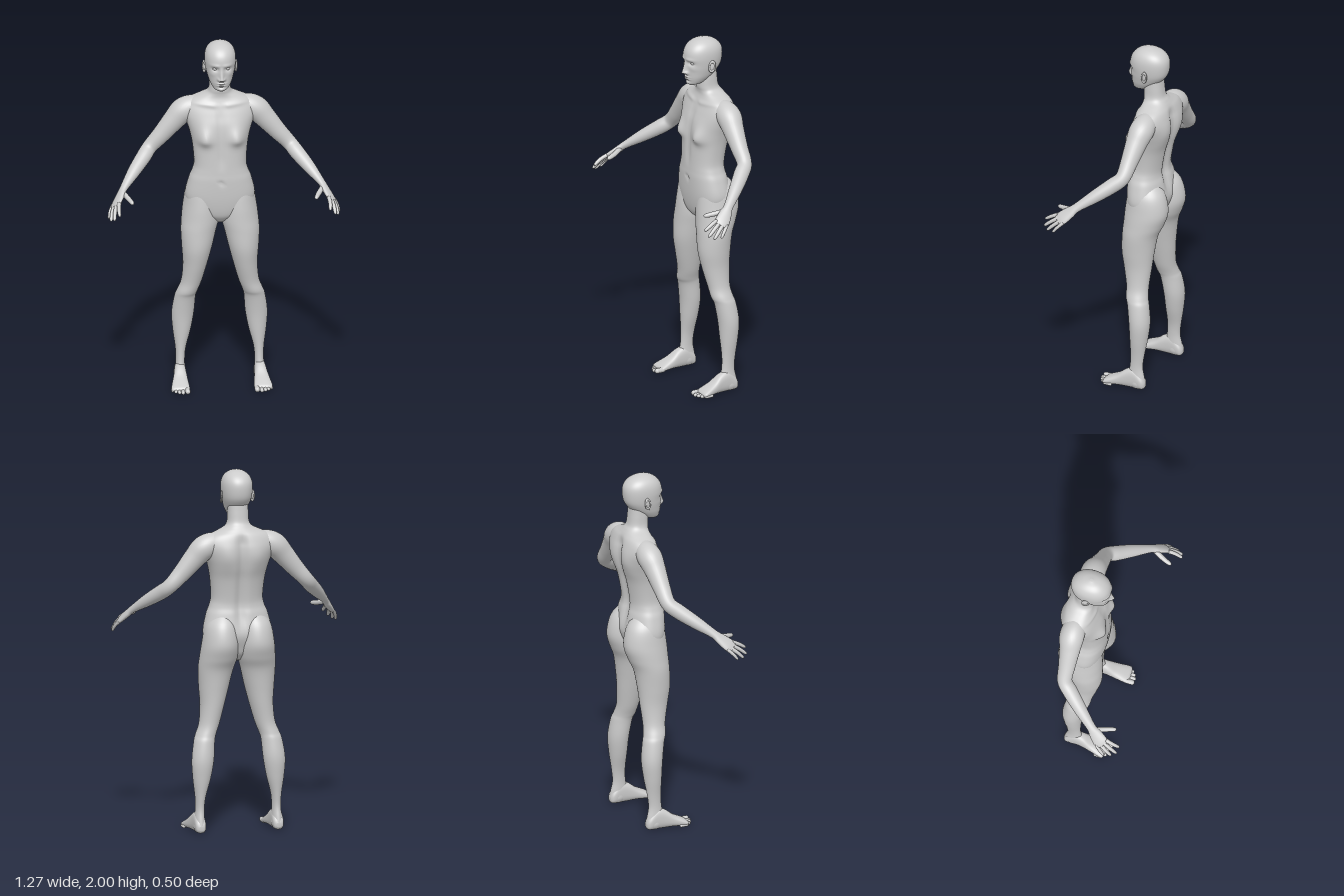
import * as THREE from 'three';

const skinMat = new THREE.MeshStandardMaterial({ color: 0xcccccc });
const bell = (d, w) => Math.exp(-(d * d) / (w * w));
const step = (v, a, b) => THREE.MathUtils.smoothstep(v, a, b);
const power = (v, p) => Math.sign(v) * Math.abs(v) ** p;

// Smoothly resample rows of numbers (Catmull-Rom per column)
function resample(rows, per) {
  const out = [];
  const last = rows.length - 1;
  for (let k = 0; k <= last * per; k++) {
    const i = Math.min(Math.floor(k / per), last - 1), t = k / per - i;
    const a = rows[Math.max(i - 1, 0)], b = rows[i], c = rows[i + 1], d = rows[Math.min(i + 2, last)];
    out.push(b.map((_, n) => 0.5 * (2 * b[n] + (c[n] - a[n]) * t
      + (2 * a[n] - 5 * b[n] + 4 * c[n] - d[n]) * t * t
      + (3 * b[n] - a[n] - 3 * c[n] + d[n]) * t ** 3)));
  }
  return out;
}

// Closed skin over a list of rings, with a fan at both ends
function skin(rings) {
  const n = rings[0].length, pos = [], idx = [];
  rings.forEach((r) => r.forEach((v) => pos.push(v.x, v.y, v.z)));
  const ends = [rings[0], rings[rings.length - 1]].map((r) => {
    const c = r.reduce((s, v) => s.add(v), new THREE.Vector3()).divideScalar(n);
    pos.push(c.x, c.y, c.z);
    return pos.length / 3 - 1;
  });
  const top = (rings.length - 1) * n;
  for (let j = 0; j < n; j++) {
    const k = (j + 1) % n;
    for (let i = 0; i < rings.length - 1; i++) {
      const a = i * n + j, b = i * n + k;
      idx.push(a, b, a + n, b, b + n, a + n);
    }
    idx.push(ends[0], k, j, ends[1], top + j, top + k);
  }
  const g = new THREE.BufferGeometry();
  g.setAttribute('position', new THREE.Float32BufferAttribute(pos, 3));
  g.setIndex(idx);
  g.computeVertexNormals();
  return g;
}

// Stacked slices [y, x0, x1, zFront, zBack], bottom to top
function stack(rows, { per = 6, sides = 48, p = 1, shape = null } = {}) {
  return skin(resample(rows, per).map(([y, x0, x1, zf, zb]) =>
    Array.from({ length: sides }, (_, j) => {
      const a = (j / sides) * Math.PI * 2;
      const v = new THREE.Vector3((x0 + x1) / 2 + (x1 - x0) / 2 * power(Math.cos(a), p), y,
        (zf + zb) / 2 - (zf - zb) / 2 * power(Math.sin(a), p));
      if (shape) shape(v, -Math.sin(a));
      return v;
    })));
}

// Limb through points [x, y, z, radius across, radius through]
function limb(rows, side, per = 6, sides = 28) {
  const pts = resample(rows, per);
  const at = (i) => new THREE.Vector3(...pts[THREE.MathUtils.clamp(i, 0, pts.length - 1)].slice(0, 3));
  return skin(pts.map((q, i) => {
    const t = at(i + 1).sub(at(i - 1)).normalize();
    const u = side.clone().addScaledVector(t, -side.dot(t)).normalize();
    const v = t.clone().cross(u);
    return Array.from({ length: sides }, (_, j) => {
      const a = (j / sides) * Math.PI * 2;
      return at(i).addScaledVector(u, q[3] * Math.cos(a)).addScaledVector(v, q[4] * Math.sin(a));
    });
  }));
}

function mirrored(geo) {
  const g = geo.clone().scale(-1, 1, 1), ix = g.index.array;
  for (let i = 0; i < ix.length; i += 3) [ix[i], ix[i + 1]] = [ix[i + 1], ix[i]];
  g.computeVertexNormals();
  return g;
}

export function createModel() {
  const body = new THREE.Group();
  body.name = 'humanFigure';
  const add = (name, geo) => {
    const m = new THREE.Mesh(geo, skinMat);
    m.name = name;
    body.add(m);
  };
  const pair = (name, geo) => {
    add(name + 'Left', geo);
    add(name + 'Right', mirrored(geo));
  };
  const even = (rows) => rows.map(([y, w, zf, zb]) => [y, -w, w, zf, zb]);

  // Torso and neck, with chest, shoulder blades, spine groove and navel
  add('torso', stack(even([
    [0.945, 0.02, -0.07, -0.13], [0.98, 0.08, -0.03, -0.17], [1.02, 0.15, -0.012, -0.19],
    [1.1, 0.19, 0, -0.215], [1.2, 0.172, 0.004, -0.203], [1.25, 0.153, 0.002, -0.192],
    [1.3, 0.143, 0, -0.194], [1.4, 0.151, -0.004, -0.212], [1.47, 0.165, -0.008, -0.232],
    [1.53, 0.184, -0.017, -0.243], [1.58, 0.2, -0.034, -0.243], [1.62, 0.195, -0.05, -0.235],
    [1.652, 0.165, -0.063, -0.224], [1.675, 0.115, -0.07, -0.21], [1.695, 0.075, -0.07, -0.197],
    [1.72, 0.06, -0.066, -0.182], [1.77, 0.057, -0.068, -0.175], [1.82, 0.055, -0.075, -0.17],
  ]), {
    sides: 80, p: 0.86,
    shape(v, f) {
      const x = Math.abs(v.x), { y } = v;
      if (f > 0) {
        v.z += f * 0.036 * bell(x - 0.095, 0.042) * bell(y - 1.445, y < 1.445 ? 0.032 : 0.06);
        v.z -= 0.008 * bell(x, 0.018) * step(y, 1.25, 1.35) * (1 - step(y, 1.55, 1.65));
        v.z += f * 0.006 * bell(y - 1.632 - x * 0.1, 0.012) * step(x, 0.01, 0.04);
        v.z -= 0.01 * bell(x, 0.009) * bell(y - 1.2, 0.012);
      } else {
        v.z += 0.022 * bell(x, 0.026) * step(y, 1.08, 1.22) * (1 - step(y, 1.6, 1.68));
        v.z += f * 0.01 * bell(x - 0.09, 0.045) * bell(y - 1.53, 0.07);
      }
    },
  }));

  // Head with brow, eye sockets, nose, lips and chin
  add('head', stack(even([
    [1.737, 0.018, -0.012, -0.05], [1.75, 0.04, 0.0, -0.09], [1.78, 0.059, 0.007, -0.135],
    [1.81, 0.07, 0.01, -0.17], [1.85, 0.08, 0.011, -0.198], [1.9, 0.085, 0.017, -0.207],
    [1.94, 0.081, 0.009, -0.202], [1.97, 0.066, -0.013, -0.18], [1.99, 0.04, -0.045, -0.145],
    [2.0, 0.008, -0.085, -0.103],
  ]), {
    per: 11, sides: 120, p: 0.92,
    shape(v, f) {
      if (f <= 0) return;
      const x = Math.abs(v.x), { y } = v;
      const ridge = THREE.MathUtils.clamp((1.888 - y) / 0.07, 0, 1) * step(y, 1.798, 1.815);
      v.z += 0.028 * ridge * bell(x, 0.013)
        + 0.01 * bell(x - 0.016, 0.007) * bell(y - 1.815, 0.009)
        - 0.014 * bell(x - 0.034, 0.018) * bell(y - 1.872, 0.012)
        + 0.005 * bell(x - 0.032, 0.026) * bell(y - 1.893, 0.01)
        + 0.004 * bell(x - 0.052, 0.018) * bell(y - 1.842, 0.016)
        + 0.009 * bell(x, 0.021) * (bell(y - 1.789, 0.005) + bell(y - 1.776, 0.005))
        - 0.004 * bell(x, 0.02) * bell(y - 1.765, 0.006)
        + 0.007 * bell(x, 0.02) * bell(y - 1.752, 0.009);
    },
  }));
  pair('eye', new THREE.SphereGeometry(0.0125, 20, 14).scale(1.15, 0.7, 1).translate(0.034, 1.871, -0.013));

  // Ears: a rim around a shallow bowl
  const ear = (g) => g.rotateY(Math.PI / 2 - 0.35).rotateX(-0.15).translate(0.087, 1.852, -0.103);
  pair('earRim', ear(new THREE.TorusGeometry(0.016, 0.005, 10, 28).scale(1, 1.7, 1)));
  pair('earBowl', ear(new THREE.SphereGeometry(0.016, 20, 12).scale(1, 1.6, 0.3)));

  // Legs, from the buttocks down to the heel
  pair('leg', stack([
    [0.005, 0.198, 0.24, -0.095, -0.168], [0.03, 0.187, 0.25, -0.08, -0.18],
    [0.07, 0.189, 0.246, -0.075, -0.174], [0.13, 0.191, 0.24, -0.087, -0.163],
    [0.2, 0.184, 0.243, -0.09, -0.17], [0.3, 0.158, 0.256, -0.085, -0.186],
    [0.4, 0.14, 0.262, -0.078, -0.195], [0.5, 0.132, 0.248, -0.062, -0.183],
    [0.54, 0.122, 0.235, -0.047, -0.172], [0.6, 0.1, 0.213, -0.038, -0.165],
    [0.7, 0.072, 0.204, -0.015, -0.172], [0.8, 0.046, 0.21, 0.003, -0.182],
    [0.9, 0.022, 0.215, 0.003, -0.198], [0.97, 0.003, 0.21, 0, -0.228],
    [1.05, 0, 0.2, -0.005, -0.25], [1.15, 0.01, 0.18, -0.02, -0.228], [1.22, 0.04, 0.13, -0.05, -0.17],
  ]));

  // Feet: slices [z, x0, x1, bottom, top] from heel to ball
  const foot = resample([
    [-0.18, 0.205, 0.232, 0.016, 0.04], [-0.166, 0.19, 0.247, 0.002, 0.07],
    [-0.12, 0.187, 0.25, 0, 0.115], [-0.07, 0.185, 0.255, 0, 0.104], [-0.02, 0.18, 0.266, 0.002, 0.068],
    [0.03, 0.176, 0.276, 0, 0.042], [0.052, 0.178, 0.274, 0.003, 0.03], [0.06, 0.19, 0.255, 0.008, 0.02],
  ], 5).map(([z, x0, x1, y0, y1]) => Array.from({ length: 36 }, (_, j) => {
    const a = (j / 36) * Math.PI * 2;
    return new THREE.Vector3((x0 + x1) / 2 + (x1 - x0) / 2 * power(Math.cos(a), 0.8),
      (y0 + y1) / 2 + (y1 - y0) / 2 * power(Math.sin(a), 0.8), z);
  }));
  pair('foot', skin(foot));
  [[0.19, 0.092, 0.0145], [0.215, 0.093, 0.0105], [0.235, 0.085, 0.01], [0.253, 0.072, 0.0095], [0.269, 0.053, 0.009]]
    .forEach(([x, tip, r], i) => pair('toe' + (i + 1),
      new THREE.CapsuleGeometry(r, 0.035, 6, 14).rotateX(Math.PI / 2).translate(x, r, tip - r - 0.0175)));

  // Arms, running from inside the shoulder to the knuckles
  const across = new THREE.Vector3(0.5, -0.42, -0.75).normalize();
  pair('arm', limb([
    [0.08, 1.6, -0.142, 0.05, 0.05], [0.145, 1.603, -0.145, 0.063, 0.063], [0.2, 1.58, -0.145, 0.068, 0.068],
    [0.25, 1.527, -0.14, 0.058, 0.06], [0.32, 1.445, -0.135, 0.047, 0.049], [0.382, 1.378, -0.128, 0.041, 0.041],
    [0.42, 1.337, -0.085, 0.042, 0.041], [0.48, 1.28, -0.01, 0.036, 0.034], [0.54, 1.22, 0.07, 0.026, 0.02],
    [0.56, 1.193, 0.1, 0.034, 0.018], [0.585, 1.159, 0.138, 0.041, 0.015], [0.597, 1.143, 0.158, 0.034, 0.009],
  ], across));

  // Fingers and thumb
  const knuckles = new THREE.Vector3(0.588, 1.155, 0.143);
  const finger = (name, base, tip, r, bend) => {
    const row = (t, k) => {
      const q = base.clone().lerp(tip, t);
      return [q.x + bend * Math.sin(t * Math.PI), q.y + bend * Math.sin(t * Math.PI), q.z, r * k, r * k];
    };
    pair(name, limb([row(0, 1.05), row(0.3, 1.05), row(0.6, 1), row(0.88, 0.85), row(0.97, 0.5), row(1, 0.1)], across, 4, 16));
  };
  [['indexFinger', -0.031, [0.575, 1.122, 0.245]], ['middleFinger', -0.01, [0.604, 1.095, 0.238]],
    ['ringFinger', 0.011, [0.621, 1.082, 0.212]], ['littleFinger', 0.031, [0.63, 1.083, 0.172]]]
    .forEach(([name, s, tip]) => finger(name, knuckles.clone().addScaledVector(across, s),
      new THREE.Vector3(...tip), name === 'littleFinger' ? 0.009 : 0.0105, 0.004));
  finger('thumb', new THREE.Vector3(0.55, 1.205, 0.09), new THREE.Vector3(0.5, 1.178, 0.205), 0.0135, -0.004);

  return body;
}
